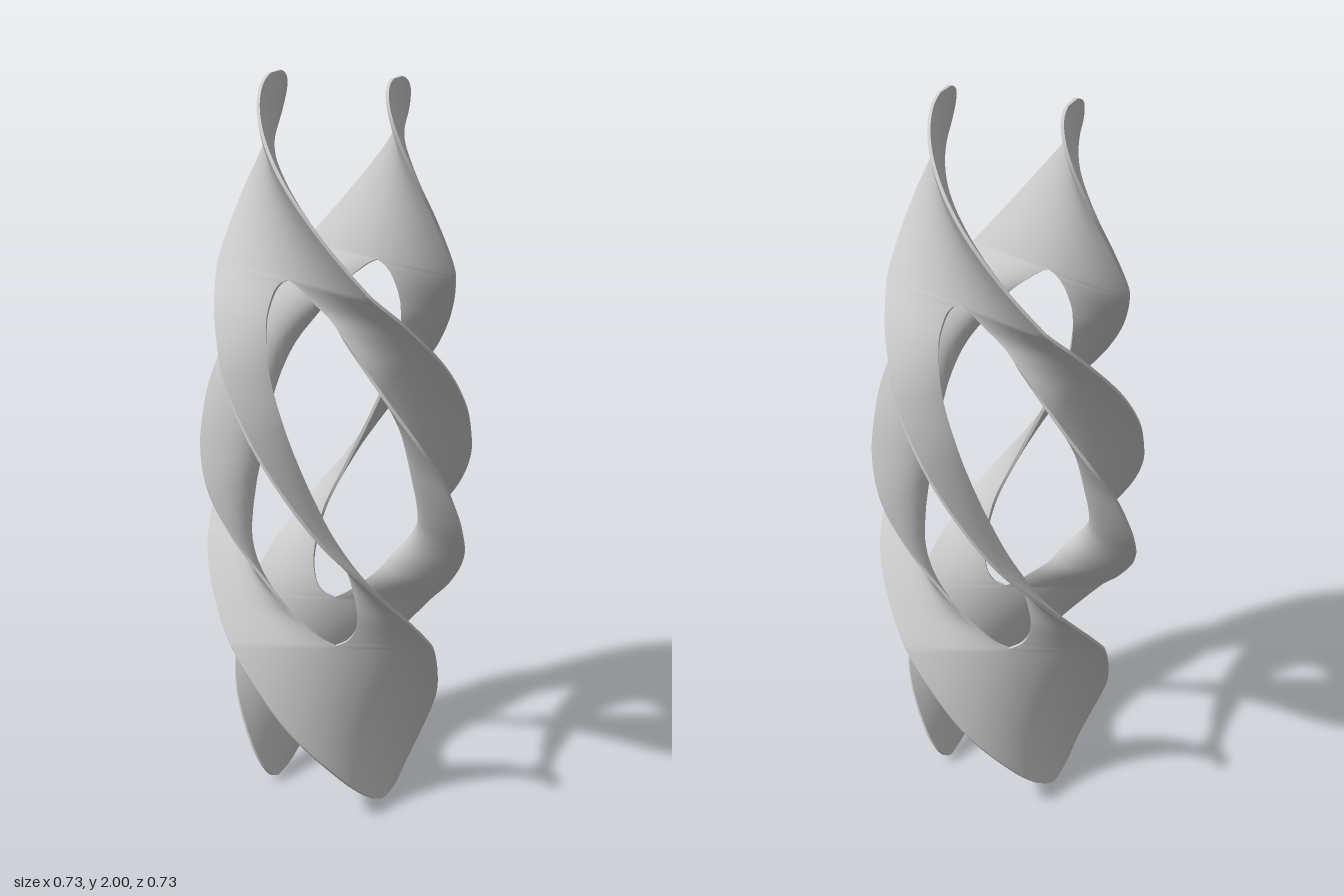
import * as THREE from 'three';

const ROWS = 160, COLS = 16;

// Smooth interpolation of rows [y, a, b...] sorted by rising y
function sample(rows, y) {
  const n = rows.length;
  let i = 0;
  while (i < n - 2 && y > rows[i + 1][0]) i++;
  const p = rows[i], q = rows[i + 1], d = q[0] - p[0];
  const u = THREE.MathUtils.clamp((y - p[0]) / d, 0, 1);
  const slope = (k, c) => {
    const a = rows[Math.max(k - 1, 0)], b = rows[Math.min(k + 1, n - 1)];
    return (b[c] - a[c]) / (b[0] - a[0]);
  };
  const out = [];
  for (let c = 1; c < p.length; c++) {
    const u2 = u * u, u3 = u2 * u;
    out.push((2 * u3 - 3 * u2 + 1) * p[c] + (u3 - 2 * u2 + u) * d * slope(i, c)
      + (3 * u2 - 2 * u3) * q[c] + (u3 - u2) * d * slope(i + 1, c));
  }
  return out;
}

// Upper blade: [y, slow half width, fast half width, outward bend of the slow edge]
const width = [[1.42, 0.257, 0.301, 0.022], [1.5, 0.26, 0.283, 0.011], [1.6, 0.247, 0.261, 0.004], [1.73, 0.225, 0.232, 0],
  [1.87, 0.173, 0.173, 0], [1.93, 0.136, 0.136, 0], [1.97, 0.097, 0.097, 0], [1.99, 0.065, 0.065, 0], [2, 0.035, 0.035, 0]];

// The blade is a chord turning about the axis; k runs from its middle (0) to its edge (1)
function blade(side, y, k) {
  const [slowW, fastW, bend] = sample(width, y);
  const s = k * (side < 0 ? -slowW : fastW), n = 0.165 + (side < 0 ? bend * k * k : 0);
  const f = THREE.MathUtils.degToRad(135 * (2 - y));
  return [-n * Math.cos(f) + s * Math.sin(f), n * Math.sin(f) + s * Math.cos(f)];
}

// Strand edges below the split, as [y, x, z]
const above = (side) => [1.5, 1.55, 1.62].map((y) => [y, ...blade(side, y, 1)]);
const slowOuter = [[1, 0, 0.365], [1.13, -0.1, 0.346], [1.25, -0.192, 0.28], [1.38, -0.267, 0.174], ...above(-1)];
const slowInner = [[1, 0, 0.23], [1.12, -0.055, 0.22], [1.25, -0.108, 0.188], [1.38, -0.127, 0.157],
  [1.45, -0.115, 0.141], [1.485, -0.092, 0.142], [1.5, ...blade(-1, 1.5, 0)]];
const fastOuter = [[1, 0.345, -0.12], [1.09, 0.36, -0.065], [1.18, 0.362, 0], [1.3, 0.338, 0.102], [1.42, 0.267, 0.2], ...above(1)];
const fastInner = [[1, 0.345, 0.12], [1.1, 0.3, 0.17], [1.2, 0.23, 0.19], [1.28, 0.167, 0.19], [1.36, 0.1, 0.184],
  [1.41, 0.06, 0.177], [1.46, 0, 0.169], [1.485, -0.033, 0.162], [1.5, ...blade(1, 1.5, 0)]];

// Inward hollow of the section between the edges, [y, depth]
const slowHollow = [[0.75, 0], [1.25, 0], [1.38, 0.001], [1.5, 0.00275]];
const fastHollow = [[0.88, 0.1], [1, 0.12], [1.12, 0.1], [1.25, 0.055], [1.38, 0.018], [1.5, 0]];

// Continue an edge below the middle by a half turn about z (sx = -1) or x (sx = 1)
const extend = (rows, other, sx) =>
  [...other.slice(1, 4).map(([y, x, z]) => [2 - y, sx * x, -sx * z]).reverse(), ...rows];
const strands = {
  slow: { side: -1, outer: extend(slowOuter, slowOuter, -1), inner: extend(slowInner, slowInner, -1), hollow: slowHollow },
  fast: { side: 1, outer: extend(fastOuter, fastInner, 1), inner: extend(fastInner, fastOuter, 1), hollow: fastHollow },
};

// Point of the middle surface; t = 0 at the outer edge, 1 at the inner edge
function point(strand, y, t) {
  if (y >= 1.5) {
    const [x, z] = blade(strand.side, y, 1 - t);
    return new THREE.Vector3(x, y - 1, z);
  }
  const o = sample(strand.outer, y), i = sample(strand.inner, y);
  const mx = o[0] + i[0], mz = o[1] + i[1];
  const k = 4 * t * (1 - t) * sample(strand.hollow, y)[0] / Math.hypot(mx, mz);
  return new THREE.Vector3(o[0] + (i[0] - o[0]) * t - mx * k, y - 1, o[1] + (i[1] - o[1]) * t - mz * k);
}

function normal(strand, y, t) {
  const e = 0.004, lo = Math.max(t - e, 0), hi = Math.min(t + e, 1);
  const dy = point(strand, Math.min(y + e, 2), t).sub(point(strand, y - e, t));
  const dt = point(strand, y, hi).sub(point(strand, y, lo));
  return dy.cross(dt).normalize();
}

// Half thickness, thinning towards the outer edge, the tip and the hole
function halfThickness(strand, y, t) {
  const w = point(strand, y, 0).distanceTo(point(strand, y, 1));
  const hole = Math.hypot((1 - t) * w, Math.max(y - 1.5, 0));
  const d = Math.min(t * w, hole, 2 - y);
  return 0.003 + 0.008 * Math.sqrt(THREE.MathUtils.smoothstep(d, -0.005, 0.05));
}

function indexed(positions, indices) {
  const g = new THREE.BufferGeometry();
  g.setAttribute('position', new THREE.Float32BufferAttribute(positions, 3));
  g.setIndex(indices);
  g.computeVertexNormals();
  return g;
}

// One face of the shell, on the side given by sign
function faceGeometry(strand, sign) {
  const pos = [], nor = [], idx = [];
  for (let i = 0; i <= ROWS; i++) {
    for (let j = 0; j <= COLS; j++) {
      const y = 1 + i / ROWS, t = j / COLS;
      const n = normal(strand, y, t).multiplyScalar(sign);
      pos.push(...point(strand, y, t).addScaledVector(n, halfThickness(strand, y, t)).toArray());
      nor.push(...n.toArray());
      if (i < ROWS && j < COLS) {
        const a = i * (COLS + 1) + j, b = a + COLS + 1;
        if (sign > 0) idx.push(a, b, a + 1, b, b + 1, a + 1);
        else idx.push(a, a + 1, b, b, a + 1, b + 1);
      }
    }
  }
  const g = indexed(pos, idx);
  g.setAttribute('normal', new THREE.Float32BufferAttribute(nor, 3));
  return g;
}

// Narrow rim joining both faces along a list of [y, t]
function rimGeometry(strand, path, flip) {
  const pos = [], idx = [];
  path.forEach(([y, t], k) => {
    const p = point(strand, y, t), n = normal(strand, y, t), h = halfThickness(strand, y, t);
    for (const s of [h, -h]) pos.push(...p.clone().addScaledVector(n, s).toArray());
    if (k === path.length - 1) return;
    const a = 2 * k;
    if (flip) idx.push(a, a + 1, a + 2, a + 1, a + 3, a + 2);
    else idx.push(a, a + 2, a + 1, a + 1, a + 2, a + 3);
  });
  return indexed(pos, idx);
}

export function createModel() {
  const model = new THREE.Group();
  model.name = 'twistedSculpture';
  const material = new THREE.MeshStandardMaterial({ color: 0xcccccc, side: THREE.DoubleSide });
  const line = (n, f) => Array.from({ length: n + 1 }, (_, k) => f(k / n));

  // Faces, outer rim, hole rim and tip rim of both strands of one blade
  const parts = [];
  for (const [name, strand] of Object.entries(strands)) {
    parts.push([name + 'StrandFront', faceGeometry(strand, 1)]);
    parts.push([name + 'StrandBack', faceGeometry(strand, -1)]);
    parts.push([name + 'OuterRim', rimGeometry(strand, line(ROWS, (u) => [1 + u, 0]), true)]);
    parts.push([name + 'HoleRim', rimGeometry(strand, line(ROWS / 2, (u) => [1 + u / 2, 1]), false)]);
    parts.push([name + 'TipRim', rimGeometry(strand, line(COLS, (u) => [2, u]), true)]);
  }

  // Two upper and two lower blades, related by half turns about the three axes
  const turns = { upperRight: [0, 0, 0], upperLeft: [0, Math.PI, 0], lowerRight: [Math.PI, 0, 0], lowerLeft: [0, 0, Math.PI] };
  for (const [name, turn] of Object.entries(turns)) {
    const group = new THREE.Group();
    group.name = name + 'Blade';
    for (const [part, geometry] of parts) {
      const mesh = new THREE.Mesh(geometry, material);
      mesh.name = part;
      group.add(mesh);
    }
    group.rotation.set(...turn);
    group.position.y = 1;
    model.add(group);
  }
  return model;
}
